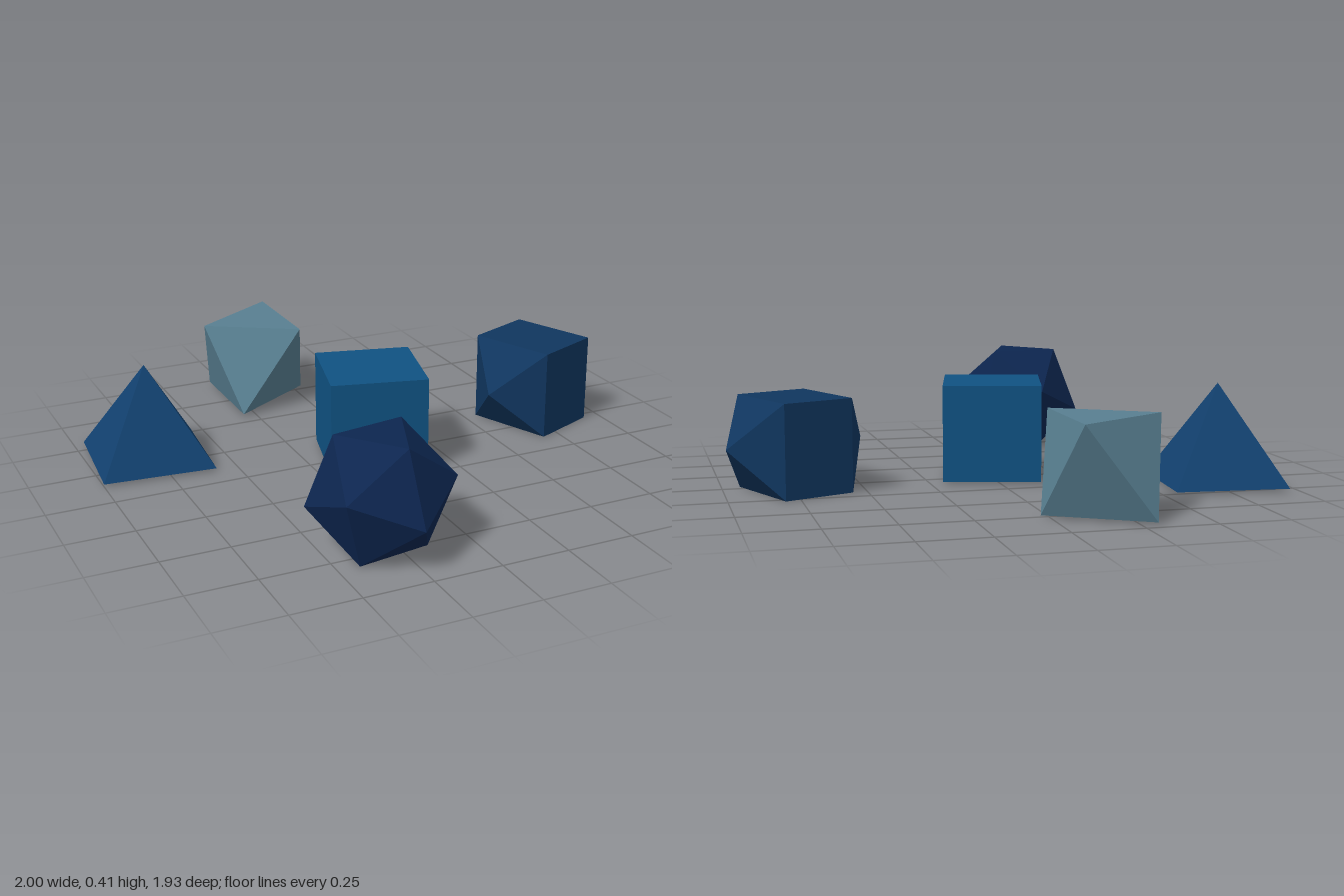
import * as THREE from 'three';
import { ConvexGeometry } from 'three/addons/geometries/ConvexGeometry.js';

// One faceted die: hull of its corner points, placed at x, y, z and turned about y
function die(name, color, points, [x, y, z], turn = 0) {
  const geometry = new ConvexGeometry(points.map((p) => new THREE.Vector3(...p)));
  const mesh = new THREE.Mesh(geometry, new THREE.MeshStandardMaterial({ color, flatShading: true }));
  mesh.name = name;
  mesh.position.set(x, y, z);
  mesh.rotation.y = turn;
  return mesh;
}

// Evenly spaced corners at height y, angles in degrees from +x towards -z
function ring(count, radius, y, start) {
  return Array.from({ length: count }, (_, i) => {
    const a = THREE.MathUtils.degToRad(start + (i * 360) / count);
    return [radius * Math.cos(a), y, -radius * Math.sin(a)];
  });
}

// Eight corners of a box centred on the origin
function boxCorners(w, h, d) {
  const out = [];
  for (const i of [-1, 1]) for (const j of [-1, 1]) for (const k of [-1, 1]) {
    out.push([(i * w) / 2, (j * h) / 2, (k * d) / 2]);
  }
  return out;
}

export function createModel() {
  const group = new THREE.Group();
  group.name = 'diceSet';

  // Square pyramid
  group.add(die('pyramidDie', 0x12416f,
    [...ring(4, 0.296, 0, 45), [0, 0.362, 0]], [-0.773, 0.01, -0.329], -0.09));

  // Cube
  group.add(die('cubeDie', 0x105282, boxCorners(0.36, 0.355, 0.36), [-0.01, 0.187, 0.02], -0.25));

  // Eight-sided die lying on one face: opposite triangles above and below
  const upper = [[-0.208, 0.163, 0], [0.125, 0.163, -0.204], [0.125, 0.163, 0.204]];
  const lower = upper.map((p) => p.map((v) => -v));
  group.add(die('eightSidedDie', 0x587f91, [...upper, ...lower], [-0.177, 0.172, -0.764]));

  // Twelve-sided die: a box with a low pyramid on both ends
  group.add(die('twelveSidedDie', 0x10365f,
    [...boxCorners(0.272, 0.34, 0.34), [-0.275, 0, 0], [0.275, 0, 0]], [0.743, 0.17, -0.07], 0.39));

  // Twenty-sided die resting on a face: two triangles and two staggered outer rings
  const R = 0.257;
  group.add(die('twentySidedDie', 0x0d2650, [
    ...ring(3, 0.607 * R, 0.795 * R, 39),
    ...ring(3, 0.982 * R, 0.188 * R, 99),
    ...ring(3, 0.982 * R, -0.188 * R, 39),
    ...ring(3, 0.607 * R, -0.795 * R, 99),
  ], [-0.303, 0.795 * R + 0.003, 0.716]));

  return group;
}
